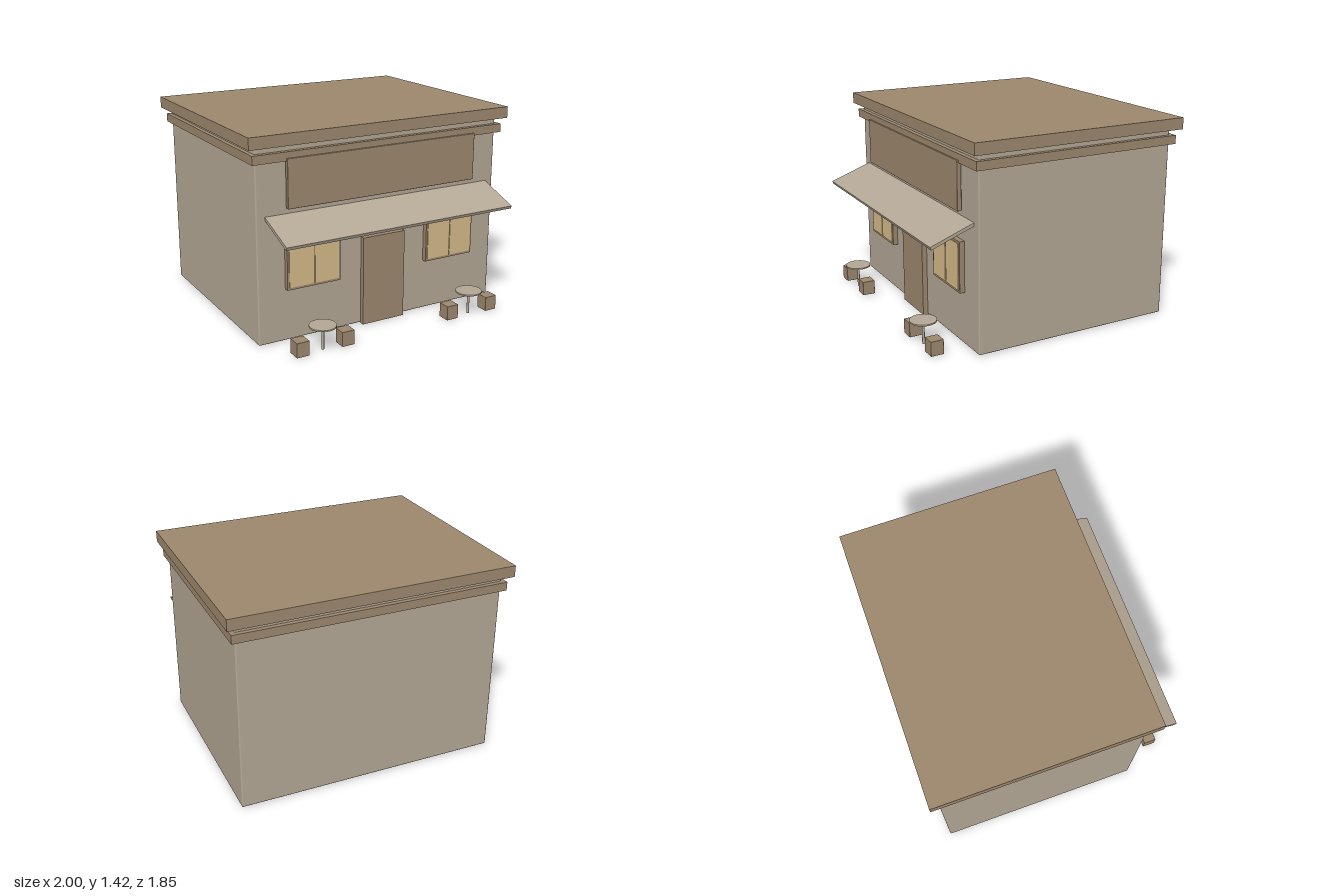
import * as THREE from 'three';
import { RoundedBoxGeometry } from 'three/addons/geometries/RoundedBoxGeometry.js';

function material(name, color) {
  const m = new THREE.MeshStandardMaterial({ color });
  m.name = name;
  return m;
}

export function createModel() {
  const plaster = material('plaster', 0xb5a997);
  const wood = material('wood', 0x9e896e);
  const glass = material('warmGlass', 0xd7bc8a);

  const model = new THREE.Group();
  model.name = 'cafe';

  // Box given by its extents on each axis; a radius rounds the edges
  function box(parent, name, mat, [x0, x1], [y0, y1], [z0, z1], radius = 0) {
    const size = [x1 - x0, y1 - y0, z1 - z0];
    const geometry = radius
      ? new RoundedBoxGeometry(...size, 2, radius)
      : new THREE.BoxGeometry(...size);
    const mesh = new THREE.Mesh(geometry, mat);
    mesh.name = name;
    mesh.position.set((x0 + x1) / 2, (y0 + y1) / 2, (z0 + z1) / 2);
    parent.add(mesh);
    return mesh;
  }

  function cylinder(parent, name, mat, radius, y0, y1, sides) {
    const mesh = new THREE.Mesh(new THREE.CylinderGeometry(radius, radius, y1 - y0, sides), mat);
    mesh.name = name;
    mesh.position.y = (y0 + y1) / 2;
    parent.add(mesh);
  }

  // Building shell, cornice and roof slab
  box(model, 'walls', plaster, [-0.937, 0.937], [0.004, 1.336], [-0.861, 0.6], 0.01);
  box(model, 'cornice', wood, [-0.967, 0.967], [1.236, 1.296], [-0.893, 0.632]);
  box(model, 'roof', wood, [-1, 1], [1.34, 1.42], [-0.922, 0.66]);

  // Blank sign board standing just off the wall
  box(model, 'signBoard', wood, [-0.73, 0.73], [0.922, 1.254], [0.612, 0.643], 0.004);

  // Awning sloping down from the wall
  const tilt = THREE.MathUtils.degToRad(20);
  const awning = box(model, 'awning', plaster, [-0.875, 0.875], [-0.011, 0.011], [-0.17, 0.17]);
  awning.position.set(0, 0.82, 0.741);
  awning.rotation.x = tilt;

  // Door
  box(model, 'door', wood, [-0.165, 0.165], [0, 0.632], [0.59, 0.636]);

  for (const side of [-1, 1]) {
    const label = side < 0 ? 'right' : 'left';

    // Window: frame with two thin panes
    const window = new THREE.Group();
    window.name = label + 'Window';
    window.position.x = side * 0.543;
    model.add(window);
    box(window, 'frame', wood, [-0.197, 0.197], [0.369, 0.722], [0.59, 0.636]);
    box(window, 'outerPane', glass, [-0.184, -0.005], [0.386, 0.706], [0.633, 0.641]);
    box(window, 'innerPane', glass, [0.005, 0.184], [0.386, 0.706], [0.633, 0.641]);

    // Round table with a stool on each side
    const seating = new THREE.Group();
    seating.name = label + 'Seating';
    seating.position.set(side * 0.588, 0, 0.831);
    model.add(seating);
    cylinder(seating, 'tableTop', plaster, 0.092, 0.162, 0.172, 24);
    cylinder(seating, 'tableLeg', plaster, 0.009, 0, 0.164, 12);
    for (const x of [-0.167, 0.167]) {
      box(seating, 'stool', wood, [x - 0.046, x + 0.046], [0.003, 0.106], [-0.046, 0.046], 0.003);
    }
  }

  return model;
}
